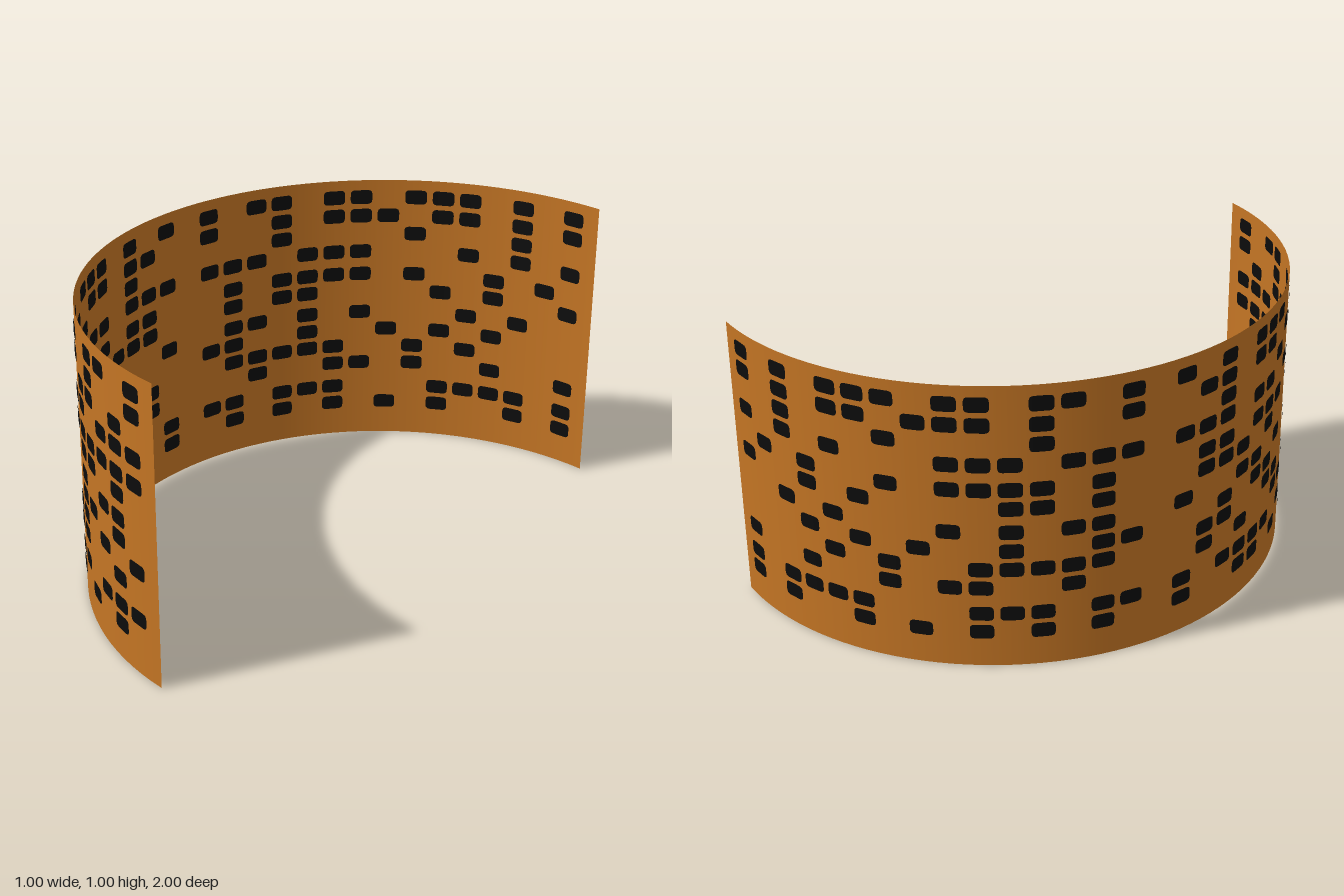
import * as THREE from 'three';
import { mergeGeometries } from 'three/addons/utils/BufferGeometryUtils.js';

// Mark rows from top to bottom; each character is one column along the arc,
// running from the front end of the sheet to the back end.
const ROWS = [
  [0.938, '#.##.##.###.#.#.#.##.##.###.#.#'],
  [0.868, '#..#.###.##.##..#..#.###.##.#.#'],
  [0.8, '.#.##...#...#......#....#...#..'],
  [0.732, '###.####.##.###.###.###...#.#.#'],
  [0.645, '#######.###.##...#.####.#..#.#.'],
  [0.578, '.#.##....#.###...#.##....#.#..#'],
  [0.495, '.##.#.#.#.##..#..##.#.#...#.#..'],
  [0.427, '.#.##....##.#...##..#..#.#.#...'],
  [0.36, '#.#.###.##..##...#####..#.#....'],
  [0.292, '.#..##.##..#.#....#..##.#..#..#'],
  [0.198, '###.##.#.####.#.##.###...####.#'],
  [0.13, '.#.#.##.#.##..#..#.#.#.#.#..#.#'],
];
const PITCH = Math.PI / 32;
const CENTRE_X = 0.5;

// Flat rounded rectangle: x is the angle along the arc, y is the height
function markGeometry(w, h, r) {
  const s = new THREE.Shape();
  s.moveTo(-w + r, -h);
  s.lineTo(w - r, -h);
  s.quadraticCurveTo(w, -h, w, -h + r);
  s.lineTo(w, h - r);
  s.quadraticCurveTo(w, h, w - r, h);
  s.lineTo(-w + r, h);
  s.quadraticCurveTo(-w, h, -w, h - r);
  s.lineTo(-w, -h + r);
  s.quadraticCurveTo(-w, -h, -w + r, -h);
  return new THREE.ShapeGeometry(s, 4);
}

// Wrap a flat geometry round the cylinder at a given radius
function wrap(geo, radius) {
  const p = geo.attributes.position;
  const n = geo.attributes.normal;
  for (let i = 0; i < p.count; i++) {
    const a = p.getX(i);
    p.setXYZ(i, CENTRE_X - radius * Math.sin(a), p.getY(i), radius * Math.cos(a));
    n.setXYZ(i, -Math.sin(a), 0, Math.cos(a));
  }
  // Angle runs towards -x, so reverse the corners to face outward
  const idx = geo.index;
  for (let i = 0; i < idx.count; i += 3) {
    const b = idx.getX(i + 1);
    idx.setX(i + 1, idx.getX(i + 2));
    idx.setX(i + 2, b);
  }
  return geo;
}

// Turn a geometry inside out
function flip(geo) {
  const n = geo.attributes.normal;
  for (let i = 0; i < n.count; i++) n.setXYZ(i, -n.getX(i), -n.getY(i), -n.getZ(i));
  const idx = geo.index;
  for (let i = 0; i < idx.count; i += 3) {
    const b = idx.getX(i + 1);
    idx.setX(i + 1, idx.getX(i + 2));
    idx.setX(i + 2, b);
  }
  return geo;
}

export function createModel() {
  const group = new THREE.Group();
  group.name = 'curvedMarkedSheet';

  const orange = new THREE.MeshStandardMaterial({ color: 0xc47524, side: THREE.DoubleSide });
  orange.name = 'amberOrange';
  const black = new THREE.MeshStandardMaterial({ color: 0x0c0c0c });
  black.name = 'inkBlack';

  // Thin half-cylinder sheet, open towards +x
  const sheetGeo = new THREE.CylinderGeometry(1, 1, 1, 64, 1, true, Math.PI, Math.PI);
  sheetGeo.translate(CENTRE_X, 0.5, 0);
  const sheet = new THREE.Mesh(sheetGeo, orange);
  sheet.name = 'sheet';
  group.add(sheet);

  // Black marks, the same on both faces of the sheet
  const outer = [];
  const inner = [];
  const flat = markGeometry(0.039, 0.026, 0.016);
  for (const [y, row] of ROWS) {
    [...row].forEach((c, i) => {
      if (c !== '#') return;
      const place = () => flat.clone().translate((i + 1) * PITCH, y, 0);
      outer.push(wrap(place(), 1.003));
      inner.push(flip(wrap(place(), 0.996)));
    });
  }
  for (const [name, list] of [['outerMarks', outer], ['innerMarks', inner]]) {
    const mesh = new THREE.Mesh(mergeGeometries(list), black);
    mesh.name = name;
    group.add(mesh);
  }
  return group;
}
